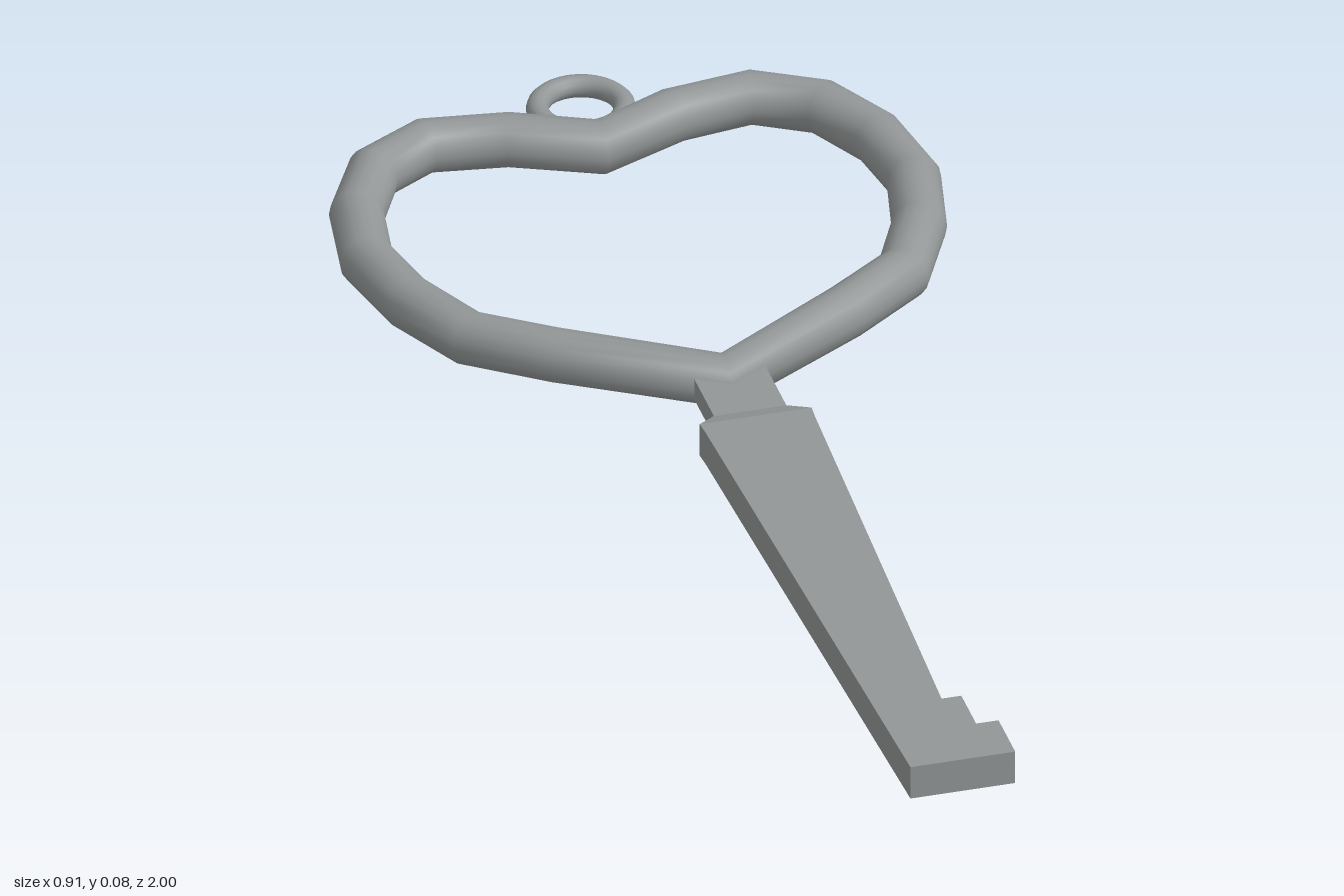
import * as THREE from 'three';

// Skin a list of rings (arrays of [x, y, z]); closed joins the last ring to the first
function loft(rings, closed) {
  const n = rings[0].length, index = [];
  const steps = closed ? rings.length : rings.length - 1;
  for (let i = 0; i < steps; i++) {
    const i2 = (i + 1) % rings.length;
    for (let j = 0; j < n; j++) {
      const j2 = (j + 1) % n;
      const a = i * n + j, b = i2 * n + j, c = i2 * n + j2, d = i * n + j2;
      index.push(a, b, c, a, c, d);
    }
  }
  const geo = new THREE.BufferGeometry();
  geo.setAttribute('position', new THREE.Float32BufferAttribute(rings.flat(2), 3));
  geo.setIndex(index);
  geo.computeVertexNormals();
  return geo;
}

export function createModel() {
  const group = new THREE.Group();
  const steel = new THREE.MeshStandardMaterial({ color: 0x929696 });
  steel.name = 'steel grey';
  const add = (name, geo) => {
    const mesh = new THREE.Mesh(geo, steel);
    mesh.name = name;
    group.add(mesh);
    return mesh;
  };

  // Heart-shaped bow: half outline as [x, z], mirrored, swept with a round section
  const half = [
    [0, -0.14], [0.22, -0.275], [0.33, -0.355], [0.388, -0.475], [0.415, -0.6],
    [0.395, -0.725], [0.34, -0.83], [0.247, -0.883], [0.125, -0.866], [0, -0.81],
  ];
  const path = [...half, ...half.slice(1, -1).reverse().map(([x, z]) => [-x, z])];
  const sides = 16, radius = 0.041;
  const bowRings = path.map(([x, z], i) => {
    const p = path[(i + path.length - 1) % path.length], q = path[(i + 1) % path.length];
    const t = new THREE.Vector2(q[0] - p[0], q[1] - p[1]).normalize();
    return Array.from({ length: sides }, (_, j) => {
      const a = (j / sides) * Math.PI * 2, c = Math.cos(a) * radius;
      return [x - t.y * c, radius + Math.sin(a) * radius, z + t.x * c];
    });
  });
  add('heartBow', loft(bowRings, true));

  // Hanging ring behind the bow
  const ring = add('hangingRing', new THREE.TorusGeometry(0.064, 0.017, 12, 32));
  ring.rotation.x = Math.PI / 2;
  ring.position.set(0, 0.041, -0.919);

  // Neck flaring into the shaft
  const section = (z, x0, x1, y0, y1) => [[x0, y0, z], [x0, y1, z], [x1, y1, z], [x1, y0, z]];
  const neck = loft([
    section(-0.14, -0.05, 0.06, 0.022, 0.057),
    section(-0.025, -0.05, 0.06, 0.022, 0.057),
    section(0.005, -0.08, 0.09, 0.012, 0.066),
  ], false).toNonIndexed();
  neck.computeVertexNormals();
  add('neck', neck);

  // Tapered shaft with the stepped bit at its tip, outlined as [x, z]
  const outline = [
    [-0.08, 0.005], [0.09, 0.005], [0.088, 0.03], [0.055, 0.83], [0.085, 0.83],
    [0.085, 0.91], [0.119, 0.91], [0.119, 1], [-0.04, 1], [-0.078, 0.03],
  ].map(([x, z]) => new THREE.Vector2(x, z));
  const shaft = new THREE.ExtrudeGeometry(new THREE.Shape(outline), { depth: 0.054, bevelEnabled: false });
  shaft.rotateX(Math.PI / 2);
  shaft.translate(0, 0.066, 0);
  add('shaftAndBit', shaft);

  return group;
}
